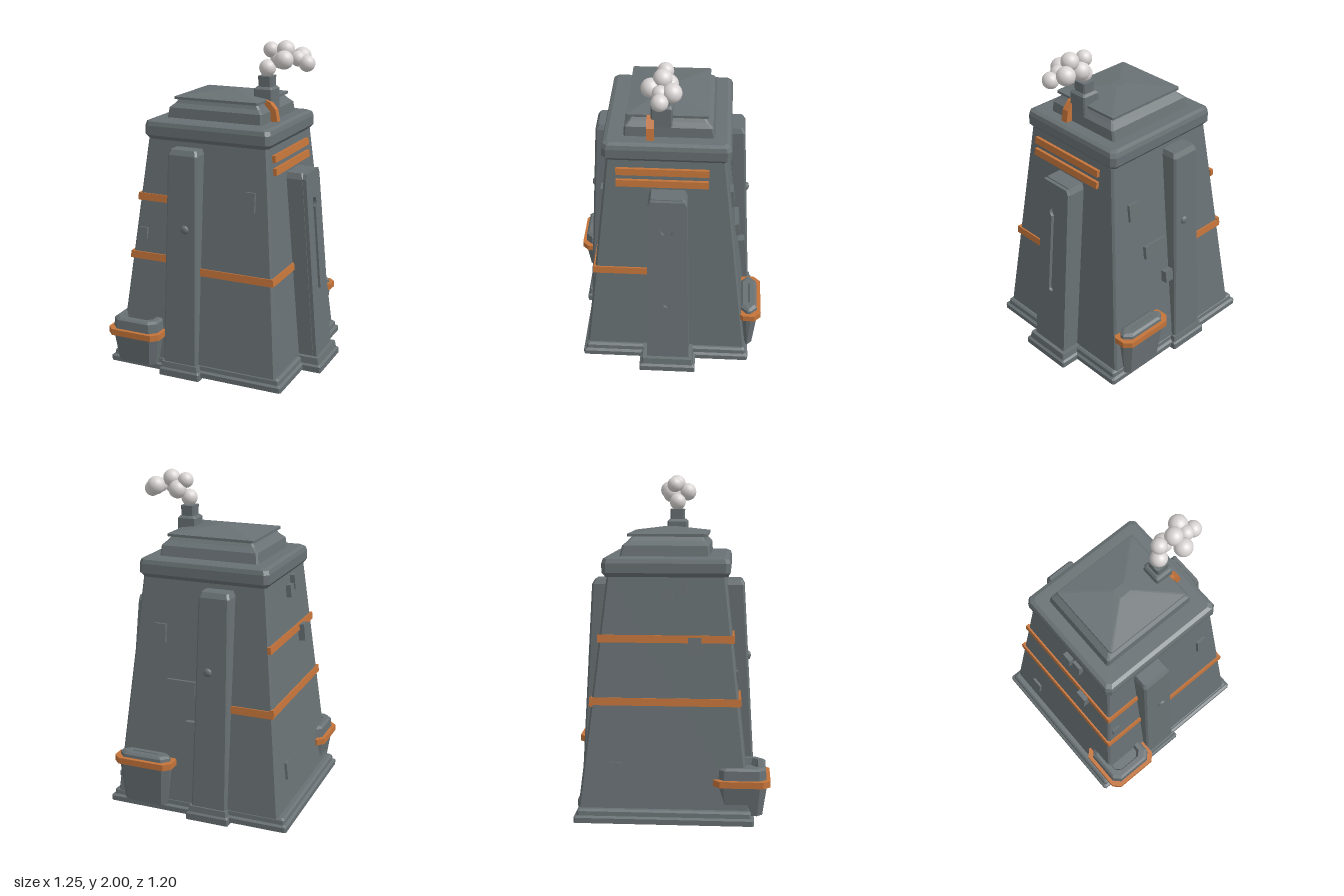
import * as THREE from 'three';

const mat = (name, color) => Object.assign(new THREE.MeshStandardMaterial({ color }), { name });

// Loft through chamfered rectangles: [y, x0, x1, z0, z1, chamfer]
function loft(sections, capBottom = true, capTop = true) {
  const rings = sections.map(([y, x0, x1, z0, z1, c]) => [
    [x1, z0 + c], [x1, z1 - c], [x1 - c, z1], [x0 + c, z1],
    [x0, z1 - c], [x0, z0 + c], [x0 + c, z0], [x1 - c, z0],
  ].map(([x, z]) => [x, y, z]));
  const pos = [];
  const tri = (a, b, c) => pos.push(...a, ...b, ...c);
  for (let k = 0; k + 1 < rings.length; k++) {
    for (let i = 0; i < 8; i++) {
      const j = (i + 1) % 8;
      const a = rings[k][i], b = rings[k][j], c = rings[k + 1][j], d = rings[k + 1][i];
      tri(a, d, c);
      tri(a, c, b);
    }
  }
  const lo = rings[0], hi = rings[rings.length - 1];
  for (let i = 1; i < 7; i++) {
    if (capBottom) tri(lo[0], lo[i], lo[i + 1]);
    if (capTop) tri(hi[0], hi[i + 1], hi[i]);
  }
  const g = new THREE.BufferGeometry();
  g.setAttribute('position', new THREE.Float32BufferAttribute(pos, 3));
  g.computeVertexNormals();
  return g;
}

// Plan of the sloping tower walls at height y
function wall(y) {
  const t = (y - 0.08) / 1.35;
  return { left: -0.57 + 0.15 * t, right: 0.47 - 0.125 * t, back: -0.51 + 0.16 * t, front: 0.485 - 0.15 * t };
}
const wallRing = (y, c = 0.012) => {
  const w = wall(y);
  return [y, w.left, w.right, w.back, w.front, c];
};
// Rectangle grown by e on every side
const grow = ([x0, x1, z0, z1], y, e, c) => [y, x0 - e, x1 + e, z0 - e, z1 + e, c];

const TURN = { front: 0, right: Math.PI / 2, back: Math.PI, left: -Math.PI / 2 };

export function createModel() {
  const group = new THREE.Group();
  const stone = mat('stone grey', 0x697174);
  stone.side = THREE.DoubleSide;
  const copper = mat('copper orange', 0xc4743a);
  const smokeMat = mat('smoke white', 0xd9d5d4);

  const add = (name, geometry, material = stone) => {
    const m = new THREE.Mesh(geometry, material);
    m.name = name;
    group.add(m);
    return m;
  };

  // Box lying on a sloping wall; u is the world x or z along that wall
  const onWall = (name, face, u, y, w, h, d, material = stone, out = 0) => {
    const m = add(name, new THREE.BoxGeometry(w, h, d), material);
    const p = wall(y)[face];
    const o = p + Math.sign(p) * out;
    if (face === 'front' || face === 'back') m.position.set(u, y, o);
    else m.position.set(o, y, u);
    m.rotation.order = 'YXZ';
    m.rotation.set(-0.11, TURN[face], 0);
    return m;
  };

  // Hollow tower, open below
  add('towerBody', loft([wallRing(0.03), wallRing(1.44)], false, true));

  // Stepped plinth
  const foot = [-0.625, 0.51, -0.53, 0.507];
  add('plinth', loft([
    wallRing(0.02), grow(foot, 0.02, 0, 0.01), grow(foot, 0.05, 0, 0.01), grow(foot, 0.06, -0.015, 0.01),
    grow(foot, 0.085, -0.018, 0.01), grow(foot, 0.095, -0.03, 0.01), wallRing(0.095),
  ], false, false));

  // Cornice
  const cornice = [-0.44, 0.365, -0.38, 0.36];
  add('cornice', loft([
    grow(cornice, 1.42, -0.02, 0.02), grow(cornice, 1.445, 0, 0.025), grow(cornice, 1.5, 0, 0.025),
    grow(cornice, 1.525, -0.008, 0.025), grow(cornice, 1.535, -0.03, 0.02),
  ]));

  // Upper storey and roof
  add('upperStorey', loft([
    [1.53, -0.345, 0.27, -0.285, 0.24, 0.01], [1.595, -0.335, 0.265, -0.27, 0.235, 0.01],
    [1.62, -0.305, 0.24, -0.24, 0.21, 0.01], [1.65, -0.28, 0.215, -0.215, 0.195, 0.01],
  ]));
  add('roof', loft([
    [1.645, -0.305, 0.238, -0.245, 0.225, 0.008], [1.66, -0.305, 0.238, -0.245, 0.225, 0.008],
    [1.693, -0.07, 0.01, -0.04, 0.02, 0.005],
  ]));

  // Front and back buttresses with footings and round studs
  for (const s of [1, -1]) {
    const zs = (inner, outer) => (s > 0 ? [inner, outer] : [-outer - 0.02, -inner - 0.02]);
    const name = s > 0 ? 'front' : 'back';
    add(name + 'Buttress', loft([
      [0.05, -0.252, -0.03, ...zs(0.475, 0.518), 0.01], [1.36, -0.24, -0.05, ...zs(0.33, 0.442), 0.012],
      [1.39, -0.228, -0.062, ...zs(0.33, 0.425), 0.01],
    ], false, true));
    add(name + 'ButtressFooting', loft([
      [0.005, -0.272, -0.005, ...zs(0.46, 0.54), 0.006], [0.045, -0.272, -0.005, ...zs(0.46, 0.54), 0.006],
      [0.055, -0.262, -0.015, ...zs(0.46, 0.53), 0.006], [0.09, -0.258, -0.02, ...zs(0.46, 0.525), 0.006],
    ], false, true));
    const stud = add(name + 'Stud', new THREE.SphereGeometry(0.026, 14, 10));
    stud.position.set(-0.12, 0.925, zs(0.468, 0.468)[0]);
    stud.scale.z = 0.6;
  }

  // Right buttress: core, slotted face and footing
  add('rightButtress', loft([
    [0.05, 0.44, 0.566, -0.16, 0.1, 0.004], [1.2, 0.34, 0.47, -0.135, 0.09, 0.004],
    [1.235, 0.34, 0.462, -0.12, 0.075, 0.01],
  ], false, true));
  const face = new THREE.Shape([[-0.1, 0], [0.16, 0], [0.135, 1.135], [0.12, 1.165], [-0.075, 1.165], [-0.09, 1.135]]
    .map((p) => new THREE.Vector2(...p)));
  const slot = new THREE.Path();
  slot.absarc(0.02, 0.97, 0.035, -Math.PI / 3, Math.PI * 4 / 3, false);
  slot.absarc(0.02, 0.43, 0.018, Math.PI, Math.PI * 2, false);
  slot.closePath();
  face.holes.push(slot);
  const faceGeo = new THREE.ExtrudeGeometry(face, { depth: 0.022, bevelEnabled: false, curveSegments: 8 });
  faceGeo.rotateX(-0.084).rotateY(Math.PI / 2).translate(0.563, 0.07, 0);
  add('slottedButtressFace', faceGeo);
  add('rightButtressFooting', loft([
    [0.015, 0.43, 0.625, -0.2, 0.145, 0.006], [0.05, 0.43, 0.625, -0.2, 0.145, 0.006],
    [0.06, 0.43, 0.612, -0.188, 0.132, 0.006], [0.1, 0.43, 0.605, -0.182, 0.126, 0.006],
  ], false, true));

  // Copper bands: [face, start, end, y]
  for (const [f, a, b, y] of [
    ['front', -0.468, -0.235, 1.07], ['left', -0.4, 0.385, 1.07],
    ['front', -0.508, -0.245, 0.71], ['left', -0.445, 0.425, 0.71], ['back', -0.508, -0.245, 0.7],
    ['front', -0.04, 0.424, 0.66], ['right', 0.09, 0.43, 0.66],
  ]) onWall('copperBand', f, (a + b) / 2, y, b - a, 0.044, 0.022, copper);

  // Copper vent bars
  for (const y of [1.355, 1.28]) onWall('ventBar', 'right', 0.012, y, 0.535, 0.042, 0.03, copper, 0.006);

  // Raised bricks: [face, u, y, width, height, depth]
  for (const b of [
    ['front', 0.26, 1.11, 0.06, 0.12, 0.035], ['front', -0.43, 0.85, 0.055, 0.07, 0.03],
    ['left', 0.085, 1.36, 0.06, 0.09, 0.06], ['left', 0, 1.325, 0.06, 0.075, 0.06],
    ['left', 0.16, 1.03, 0.075, 0.1, 0.08], ['left', -0.29, 0.31, 0.07, 0.1, 0.03],
    ['back', 0.22, 1.1, 0.075, 0.11, 0.035], ['back', 0.07, 0.79, 0.18, 0.085, 0.045],
    ['back', -0.005, 0.56, 0.06, 0.075, 0.08],
  ]) onWall('raisedBrick', ...b);

  // Corner tubs with copper hoops
  const tub = (name, r, y0, hoopY, top) => {
    add(name, loft([
      grow(r, y0, -0.045, 0.03), grow(r, hoopY, -0.02, 0.04), grow(r, top - 0.012, -0.026, 0.04),
      grow(r, top, -0.04, 0.04), grow(r, top, -0.07, 0.03), grow(r, top - 0.04, -0.08, 0.03),
    ]));
    add(name + 'Hoop', loft([grow(r, hoopY, 0, 0.04), grow(r, hoopY + 0.038, 0, 0.04)], true, true), copper);
  };
  tub('frontTub', [-0.6, -0.255, 0.27, 0.6], 0.06, 0.235, 0.34);
  tub('backTub', [0.085, 0.458, -0.6, -0.45], 0.06, 0.31, 0.378);

  // Chimney and its copper pipe
  add('chimneyBase', loft([
    [1.58, 0.148, 0.265, -0.04, 0.083, 0.008], [1.715, 0.148, 0.265, -0.04, 0.083, 0.008],
    [1.728, 0.16, 0.253, -0.028, 0.071, 0.008],
  ]));
  add('chimneyTop', loft([
    [1.72, 0.168, 0.248, -0.022, 0.062, 0.008], [1.79, 0.165, 0.25, -0.025, 0.065, 0.008],
  ]));
  const pipe = new THREE.Shape([[0.2, 1.65], [0.235, 1.66], [0.262, 1.648], [0.298, 1.605], [0.312, 1.53],
    [0.27, 1.53], [0.262, 1.59], [0.23, 1.625]].map((p) => new THREE.Vector2(...p)));
  add('copperPipe', new THREE.ExtrudeGeometry(pipe, { depth: 0.044, bevelEnabled: false }).translate(0, 0, 0.063), copper);

  // Smoke puffs: [x, y, z, radius]
  for (const [x, y, z, r] of [
    [0.21, 1.835, 0.02, 0.05], [0.27, 1.885, -0.02, 0.055], [0.225, 1.94, 0.0, 0.047], [0.32, 1.947, 0.01, 0.053],
    [0.335, 1.895, 0.075, 0.055], [0.4, 1.905, -0.045, 0.055], [0.4, 1.9, 0.02, 0.045], [0.455, 1.875, 0.02, 0.048],
  ]) add('smokePuff', new THREE.SphereGeometry(r, 20, 14), smokeMat).position.set(x, y, z);

  return group;
}
